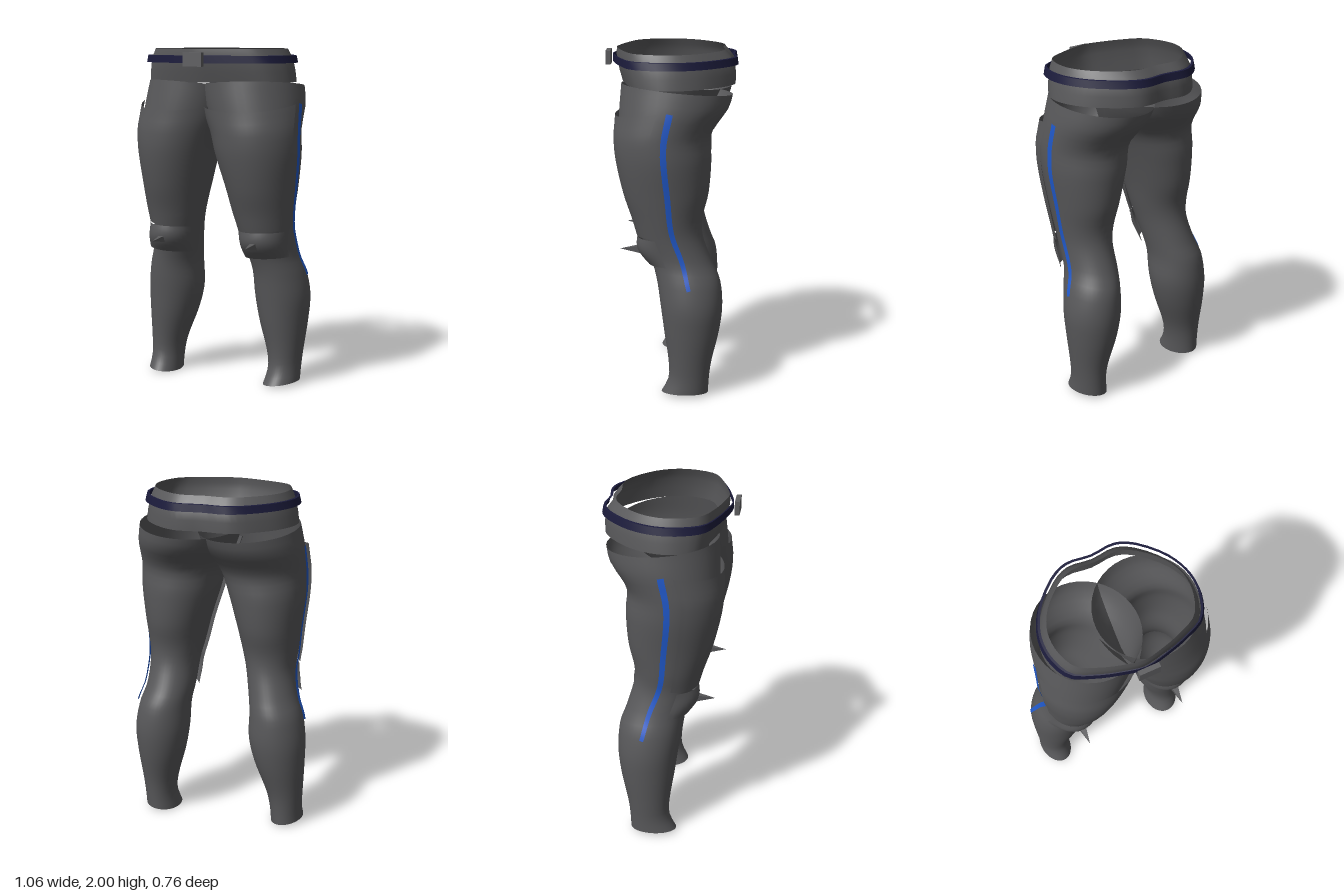
import * as THREE from 'three';

const MID = 0.015; // x of the body's middle plane

// Each row: y, left inner, left outer, right inner, right outer, front z, back z
const LEG = [
  [0.00, 0.262, 0.47, 0.328, 0.52, 0.06, -0.22],
  [0.10, 0.28, 0.47, 0.325, 0.515, 0.012, -0.225],
  [0.20, 0.27, 0.48, 0.305, 0.52, 0.01, -0.237],
  [0.40, 0.215, 0.505, 0.23, 0.53, 0.038, -0.283],
  [0.55, 0.19, 0.515, 0.195, 0.53, 0.058, -0.30],
  [0.70, 0.185, 0.49, 0.195, 0.505, 0.08, -0.285],
  [0.80, 0.17, 0.46, 0.18, 0.47, 0.108, -0.24],
  [0.95, 0.16, 0.455, 0.15, 0.44, 0.17, -0.185],
  [1.05, 0.135, 0.465, 0.125, 0.45, 0.20, -0.18],
  [1.20, 0.10, 0.485, 0.09, 0.462, 0.25, -0.215],
  [1.40, 0.04, 0.51, 0.03, 0.483, 0.295, -0.23],
  [1.53, 0.01, 0.512, -0.02, 0.485, 0.305, -0.225],
  [1.60, -0.03, 0.51, -0.06, 0.482, 0.30, -0.265],
  [1.69, -0.075, 0.505, -0.105, 0.477, 0.295, -0.33],
  [1.82, -0.12, 0.483, -0.15, 0.455, 0.285, -0.36],
];

// Smooth interpolation of the leg table at a height
function legRow(y) {
  const n = LEG.length;
  let i = 0;
  while (i < n - 2 && y > LEG[i + 1][0]) i++;
  const slope = (k, c) => {
    const a = LEG[Math.max(k - 1, 0)], b = LEG[Math.min(k + 1, n - 1)];
    return (b[c] - a[c]) / (b[0] - a[0]);
  };
  const p = LEG[i], q = LEG[i + 1], h = q[0] - p[0];
  const t = THREE.MathUtils.clamp((y - p[0]) / h, 0, 1), t2 = t * t, t3 = t2 * t;
  return p.map((v, c) => c === 0 ? y :
    v * (2 * t3 - 3 * t2 + 1) + q[c] * (3 * t2 - 2 * t3) +
    slope(i, c) * h * (t3 - 2 * t2 + t) + slope(i + 1, c) * h * (t3 - t2));
}

// Centre and half sizes of a leg at a height; the right shin stands a little forward
function section(side, y) {
  const r = legRow(y), [inner, outer] = side > 0 ? [r[1], r[2]] : [r[3], r[4]];
  const shift = side > 0 ? 0 : 0.028 * (1 - THREE.MathUtils.smoothstep(y, 0.6, 1));
  return {
    cx: (inner + outer) / 2, hx: (outer - inner) / 2,
    cz: (r[5] + r[6]) / 2 + shift, hz: (r[5] - r[6]) / 2,
  };
}

// Point on a leg: angle 0 is outward, 90 degrees is forward
function legPoint(side, y, a, off = 0) {
  const { cx, hx, cz, hz } = section(side, y);
  return [side * (cx + (hx + off) * Math.cos(a)), y, cz + (hz + off) * Math.sin(a)];
}

// Surface from a rule fn(u, v)
function sheet(nu, nv, fn, closed = false) {
  const pts = [], index = [], cols = closed ? nu : nu + 1;
  for (let j = 0; j <= nv; j++)
    for (let i = 0; i < cols; i++) pts.push(fn(i / nu, j / nv));
  for (let j = 0; j < nv; j++)
    for (let i = 0; i < nu; i++) {
      const k = (i + 1) % cols;
      const a = j * cols + i, b = j * cols + k, c = a + cols, d = b + cols;
      index.push(a, c, b, b, c, d);
    }
  const g = new THREE.BufferGeometry();
  g.setAttribute('position', new THREE.Float32BufferAttribute(pts.flat(), 3));
  g.setIndex(index);
  g.computeVertexNormals();
  return g;
}

export function createModel() {
  const group = new THREE.Group();
  const material = (name, color) => {
    const m = new THREE.MeshStandardMaterial({ color, side: THREE.DoubleSide });
    m.name = name;
    return m;
  };
  const suit = material('charcoal suit', 0x58585a);
  const navy = material('navy belt', 0x1c1c3c);
  const blue = material('blue stripe', 0x2058c8);
  const metal = material('grey metal', 0x5e5e60);
  const add = (name, geometry, mat) => {
    const mesh = new THREE.Mesh(geometry, mat);
    mesh.name = name;
    group.add(mesh);
    return mesh;
  };
  const { lerp, degToRad: rad } = THREE.MathUtils;

  for (const side of [1, -1]) {
    const label = side > 0 ? 'left' : 'right';

    // Trouser leg, open at both ends; the two overlap above the crotch
    add(label + 'Leg', sheet(40, 44, (u, v) => {
      const a = u * Math.PI * 2, c = Math.cos(a), s = Math.sin(a);
      return legPoint(side, lerp(0.016 + 0.012 * c, 1.787 + 0.03 * s + 0.015 * c, v), a);
    }, true), suit);

    // Thigh plate wrapped over the front of the leg to the inner thigh
    add(label + 'ThighPlate', sheet(24, 20, (u, v) => {
      const y = lerp(lerp(0.97, 0.94, u), 1.69 - 0.2 * u + 0.23 * u * u, v);
      return legPoint(side, y, rad(lerp(15, lerp(160, 175, v), u)), 0.022);
    }), suit);

    // Bulging knee pad with a four-sided spike
    add(label + 'KneePad', sheet(16, 8, (u, v) => {
      const y = lerp(lerp(0.80, 0.78, u), lerp(0.955, 0.945, u), v);
      const bulge = 0.03 * Math.sin(Math.PI * v) * Math.sin(Math.PI * u);
      return legPoint(side, y, rad(lerp(27, 155, u)), 0.022 + bulge);
    }), suit);
    const spike = new THREE.ConeGeometry(0.03, 0.115, 4).toNonIndexed();
    spike.rotateY(Math.PI / 4).rotateX(Math.PI / 2).computeVertexNormals();
    add(label + 'KneeSpike', spike, suit).position.set(side > 0 ? 0.308 : -0.305, 0.87, 0.235);

    // Stripe down the outside of the leg
    const path = new THREE.CatmullRomCurve3([
      [0.0, 1.69], [0.035, 1.5], [0.012, 1.2], [-0.01, 1.0], [-0.07, 0.83], [-0.108, 0.68],
    ].map(([z, y]) => new THREE.Vector3(0, y, z)));
    add(label + 'Stripe', sheet(2, 30, (u, v) => {
      const p = path.getPoint(v), t = path.getTangent(v), w = (u - 0.5) * lerp(0.038, 0.024, v);
      const y = p.y - t.z * w, z = p.z + t.y * w, { cz, hz } = section(side, y);
      return [legPoint(side, y, Math.asin((z - cz) / hz), 0.01 + 0.016 * v * v)[0], y, z];
    }), blue);
  }

  // Waist outline, half of it listed from front to back and then mirrored
  const half = [[0, 0.345], [0.125, 0.322], [0.255, 0.283], [0.385, 0.22], [0.442, 0.105], [0.452, 0],
    [0.43, -0.1], [0.37, -0.21], [0.235, -0.34], [0.14, -0.378], [0, -0.365]];
  const outline = [...half, ...half.slice(1, -1).reverse().map(([x, z]) => [-x, z])];
  const loop = new THREE.CatmullRomCurve3(outline.map(([x, z]) => new THREE.Vector3(x, 0, z)), true);
  const ring = (rows) => sheet(56, rows.length - 1, (u, v) => {
    const p = loop.getPoint(u), [y, sx, front, back] = rows[Math.round(v * (rows.length - 1))];
    return [MID + p.x * sx, y, p.z * (p.z > 0 ? front : back)];
  }, true);

  // Waistband: height, side scale, front scale, back scale
  add('waistband', ring([[1.81, 0.995, 0.84, 0.965], [1.87, 0.975, 0.89, 0.967],
    [1.93, 0.945, 0.93, 0.95], [1.965, 0.915, 0.94, 0.88], [2.0, 0.88, 0.93, 0.80]]), suit);
  add('belt', ring([[1.92, 1.008, 1, 1.005], [1.962, 0.985, 1, 0.985]]), navy);
  add('beltTopEdge', ring([[1.962, 0.985, 1, 0.985], [1.963, 0.955, 0.985, 0.945]]), navy);
  add('buckle', new THREE.BoxGeometry(0.122, 0.08, 0.028), metal).position.set(MID + 0.004, 1.942, 0.369);

  return group;
}
